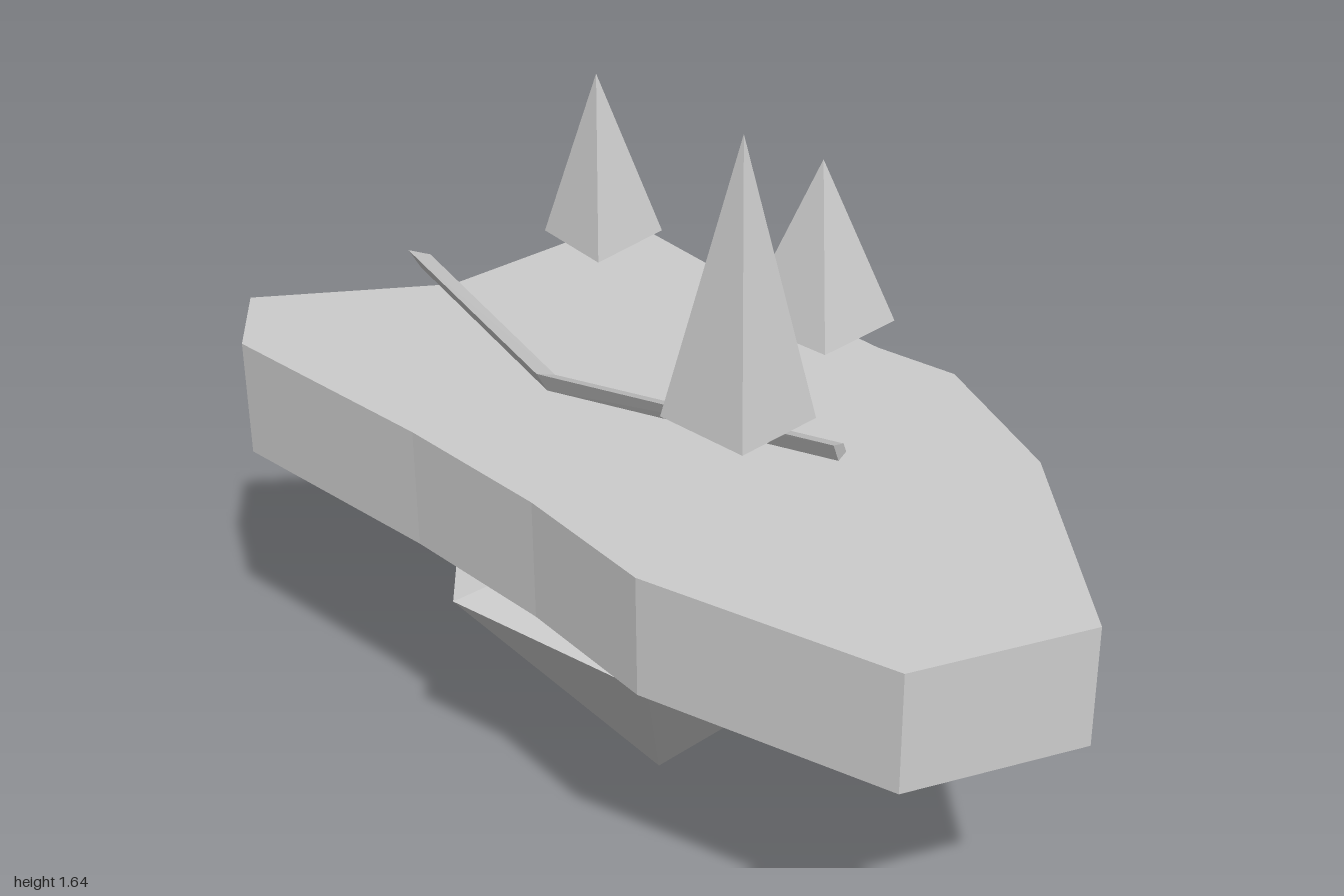
import * as THREE from 'three';

const stone = new THREE.MeshStandardMaterial({ color: 0xcccccc, flatShading: true });
stone.name = 'pale grey';

// Faceted mesh from a list of triangle corners
function facets(name, corners) {
  const geo = new THREE.BufferGeometry().setFromPoints(corners);
  geo.computeVertexNormals();
  const mesh = new THREE.Mesh(geo, stone);
  mesh.name = name;
  return mesh;
}

// Two pyramids sharing one ring: ring of [x, z], centre [x, z], heights of tip, ring and base point
function doublePyramid(name, ring, [cx, cz], topY, ringY, bottomY) {
  const pts = ring.map(([x, z]) => new THREE.Vector3(x, ringY, z));
  const top = new THREE.Vector3(cx, topY, cz);
  const bottom = new THREE.Vector3(cx, bottomY, cz);
  const corners = [];
  pts.forEach((p, i) => {
    const q = pts[(i + 1) % pts.length];
    corners.push(p, top, q, p, q, bottom);
  });
  return facets(name, corners);
}

// Floating slab with an irregular outline
function makeSlab() {
  const outline = [
    [-0.76, -0.46], [-0.345, -0.43], [0.065, -0.43], [0.245, -0.46], [0.58, -0.325],
    [1, 0.015], [0.855, 0.36], [0.33, 0.49], [0.015, 0.46], [-0.335, 0.46],
    [-0.85, 0.49], [-1, 0.36], [-0.75, 0.015], [-0.725, -0.325],
  ];
  const shape = new THREE.Shape(outline.map(([x, z]) => new THREE.Vector2(x, -z)));
  const geo = new THREE.ExtrudeGeometry(shape, { depth: 0.258, bevelEnabled: false });
  geo.rotateX(-Math.PI / 2).translate(0, 0.677, 0);
  const mesh = new THREE.Mesh(geo, stone);
  mesh.name = 'islandSlab';
  return mesh;
}

// Bent path: one four-sided section carried along three stations
function makePath() {
  const section = [[0.032, 0.987], [-0.018, 0.964], [-0.032, 0.938], [0.005, 0.938]];
  const stations = [ // x, z, sideways direction x, z
    [-0.85, 0.015, -0.25, 0.97], [-0.27, 0.166, 0.05, 1], [0.312, -0.055, 0.35, 0.94],
  ];
  const rings = stations.map(([x, z, nx, nz]) =>
    section.map(([d, y]) => new THREE.Vector3(x + d * nx, y, z + d * nz)));
  const corners = [];
  for (let s = 0; s < 2; s++) {
    for (let i = 0; i < 4; i++) {
      const j = (i + 1) % 4;
      const a = rings[s][i], b = rings[s + 1][i], c = rings[s + 1][j], d = rings[s][j];
      corners.push(a, b, c, a, c, d);
    }
  }
  const [p, , q] = rings;
  corners.push(p[0], p[1], p[2], p[0], p[2], p[3]);
  corners.push(q[0], q[2], q[1], q[0], q[3], q[2]);
  return facets('path', corners);
}

export function createModel() {
  const model = new THREE.Group();
  model.name = 'floatingIsland';
  model.add(makeSlab(), makePath());

  // Hanging rock: six sides with uneven radii
  const radii = [0.523, 0.456, 0.48, 0.574, 0.532, 0.57];
  const rockRing = radii.map((r, i) => {
    const angle = THREE.MathUtils.degToRad(45 + 60 * i);
    return [-0.12 + r * Math.cos(angle), 0.02 + r * Math.sin(angle)];
  });
  model.add(doublePyramid('hangingRock', rockRing, [-0.12, 0.02], 0.657, 0.586, 0));

  // Spike trees: base corners, centre and tip height
  const trees = [
    [[[-0.628, -0.31], [-0.43, -0.294], [-0.414, -0.1], [-0.6, -0.118]], [-0.52, -0.2], 1.424],
    [[[-0.045, -0.369], [0.174, -0.353], [0.174, -0.155], [-0.04, -0.139]], [0.073, -0.245], 1.42],
    [[[0.125, 0.016], [0.325, 0.027], [0.325, 0.219], [0.12, 0.23]], [0.228, 0.125], 1.643],
  ];
  trees.forEach(([ring, centre, tip], i) =>
    model.add(doublePyramid('tree' + (i + 1), ring, centre, tip, 1.07, 1.04)));

  return model;
}
